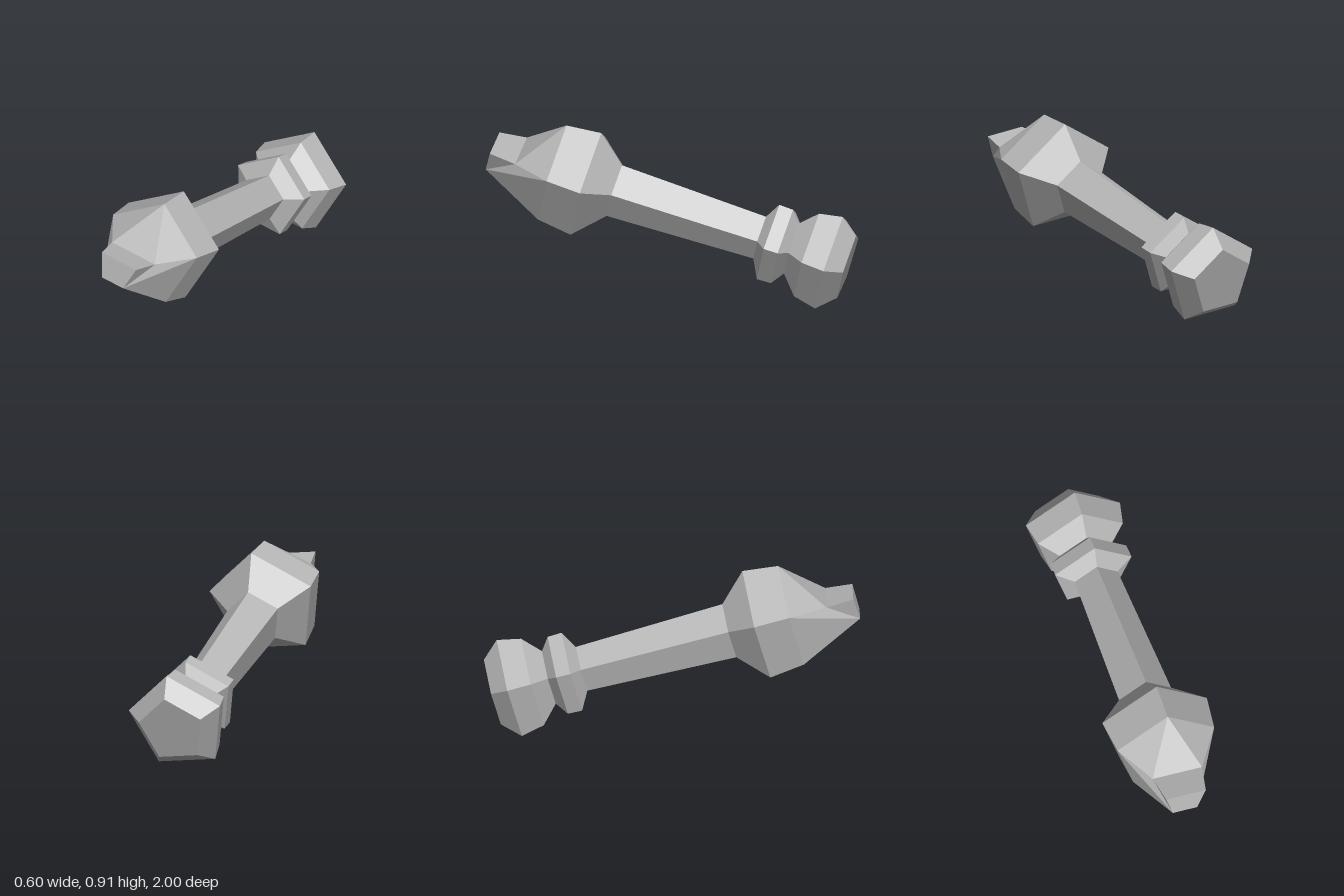
import * as THREE from 'three';

const SIDES = 5;

// Pentagon of radius r at distance s along the axis, starting at the top corner
function ring([s, r]) {
  return Array.from({ length: SIDES }, (_, k) => {
    const a = (k * 2 * Math.PI) / SIDES;
    return [r * Math.sin(a), r * Math.cos(a), s];
  });
}

// Quads joining successive rings, ordered from back to front
function loft(rings) {
  const faces = [];
  for (let i = 0; i + 1 < rings.length; i++) {
    const b = rings[i], f = rings[i + 1];
    for (let k = 0; k < SIDES; k++) {
      const n = (k + 1) % SIDES;
      faces.push([b[k], f[k], f[n], b[n]]);
    }
  }
  return faces;
}

// Flat-faced mesh from polygons, each split into a triangle fan
function facetedMesh(name, faces, material) {
  const pos = [];
  for (const p of faces) {
    for (let i = 1; i + 1 < p.length; i++) pos.push(...p[0], ...p[i], ...p[i + 1]);
  }
  const geometry = new THREE.BufferGeometry();
  geometry.setAttribute('position', new THREE.Float32BufferAttribute(pos, 3));
  geometry.computeVertexNormals();
  const mesh = new THREE.Mesh(geometry, material);
  mesh.name = name;
  return mesh;
}

export function createModel() {
  const grey = new THREE.MeshStandardMaterial({ color: 0xb4b4b4 });
  grey.name = 'grey';
  grey.flatShading = true;

  // Ring stations: [distance along axis, radius]
  const pommelBack = ring([-0.988, 0.1875]);
  const pommelWide = ring([-0.893, 0.2785]);
  const pommelFront = ring([-0.766, 0.251]);
  const neck = ring([-0.677, 0.152]);
  const collarBack = ring([-0.627, 0.223]);
  const collarFront = ring([-0.549, 0.226]);
  const shaftBack = ring([-0.497, 0.127]);
  const shaftFront = ring([0.318, 0.154]);
  const headBack = ring([0.47, 0.309]);
  const headFront = ring([0.66, 0.286]);

  // Snout corners, mirrored left and right
  const pair = (x, y, z) => [[-x, y, z], [x, y, z]];
  const [rootL, rootR] = pair(0.139, 0.041, 0.859);
  const [tipL, tipR] = pair(0.111, 0.036, 1.006);
  const [lipL, lipR] = pair(0.069, -0.096, 1.009);
  const [top, right, lowR, lowL, left] = headFront;

  const axis = new THREE.Group();
  axis.name = 'tiltedBody';
  axis.add(
    facetedMesh('pommel', [pommelBack, ...loft([pommelBack, pommelWide, pommelFront, neck])], grey),
    facetedMesh('collar', loft([neck, collarBack, collarFront, shaftBack]), grey),
    facetedMesh('shaft', loft([shaftBack, shaftFront]), grey),
    facetedMesh('head', [
      ...loft([shaftFront, headBack, headFront]),
      [top, rootL, rootR],
      [top, left, rootL],
      [top, rootR, right],
      [left, lowL, lipL, rootL],
      [right, rootR, lipR, lowR],
      [lowL, lowR, lipR, lipL],
    ], grey),
    facetedMesh('snout', [
      [tipL, lipL, lipR, tipR],
      [rootL, tipL, tipR, rootR],
      [rootL, lipL, tipL],
      [rootR, tipR, lipR],
    ], grey),
  );

  // Pitch up at the front, with slight yaw and roll
  const rad = THREE.MathUtils.degToRad;
  axis.rotation.set(rad(-14.7), rad(1.9), rad(-8), 'YXZ');
  axis.position.set(-0.0145, 0.4695, 0);

  const model = new THREE.Group();
  model.name = 'model';
  model.add(axis);
  return model;
}
